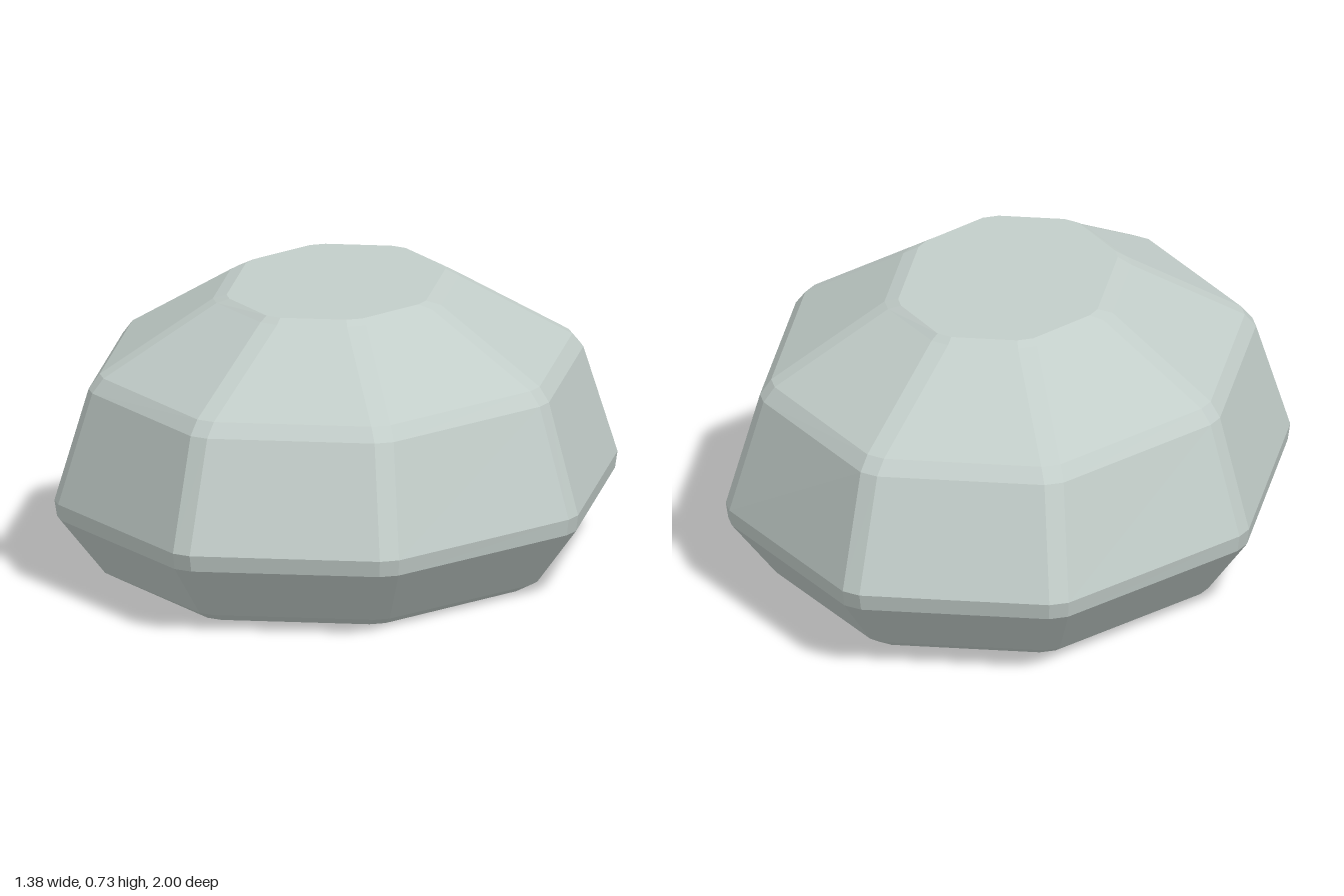
import * as THREE from 'three';

// Octagonal cross-section with its eight corners cut off by b.
// (cx, hz) and (hx, cz) are the uncut corners of one quarter.
function section({ y, hx, hz, cx, cz, b }) {
  const len = Math.hypot(hx - cx, hz - cz);
  const dx = (b * (hx - cx)) / len, dz = (b * (hz - cz)) / len;
  const quarter = [[hx, cz - b], [hx - dx, cz + dz], [cx + dx, hz - dz], [cx - b, hz]];
  const back = [...quarter].reverse();
  return [
    ...quarter,
    ...back.map(([x, z]) => [-x, z]),
    ...quarter.map(([x, z]) => [-x, -z]),
    ...back.map(([x, z]) => [x, -z]),
  ].map(([x, z]) => [x, y, z]);
}

// Skin between stacked sections, closed with flat caps.
function loft(sections) {
  const rings = sections.map(section);
  const n = rings[0].length;
  const last = rings.length - 1;
  const positions = rings.flat(2);
  const index = [];
  positions.push(0, sections[0].y, 0, 0, sections[last].y, 0);
  const bottom = rings.length * n, top = bottom + 1;
  for (let i = 0; i < n; i++) {
    const j = (i + 1) % n;
    for (let r = 0; r < last; r++) {
      const a = r * n + i, b = r * n + j;
      index.push(a, a + n, b, b, a + n, b + n);
    }
    index.push(bottom, i, j, top, last * n + j, last * n + i);
  }
  const indexed = new THREE.BufferGeometry();
  indexed.setAttribute('position', new THREE.Float32BufferAttribute(positions, 3));
  indexed.setIndex(index);
  const geometry = indexed.toNonIndexed();
  geometry.computeVertexNormals();
  return geometry;
}

export function createModel() {
  const group = new THREE.Group();
  group.name = 'facetedGem';

  // Pairs of close sections form the narrow bevels between the main facets.
  const gem = new THREE.Mesh(
    loft([
      { y: 0.0, hx: 0.535, hz: 0.79, cx: 0.22, cz: 0.33, b: 0.025 },
      { y: 0.02, hx: 0.572, hz: 0.825, cx: 0.235, cz: 0.345, b: 0.025 },
      { y: 0.172, hx: 0.682, hz: 0.99, cx: 0.277, cz: 0.41, b: 0.03 },
      { y: 0.215, hx: 0.688, hz: 1.0, cx: 0.28, cz: 0.415, b: 0.03 },
      { y: 0.503, hx: 0.605, hz: 0.88, cx: 0.25, cz: 0.365, b: 0.03 },
      { y: 0.54, hx: 0.578, hz: 0.845, cx: 0.237, cz: 0.348, b: 0.03 },
      { y: 0.718, hx: 0.3, hz: 0.465, cx: 0.122, cz: 0.205, b: 0.03 },
      { y: 0.732, hx: 0.262, hz: 0.442, cx: 0.112, cz: 0.215, b: 0.025 },
    ]),
    new THREE.MeshStandardMaterial({ color: 0xc2cdc9, flatShading: true })
  );
  gem.name = 'gemBody';
  group.add(gem);
  return group;
}
